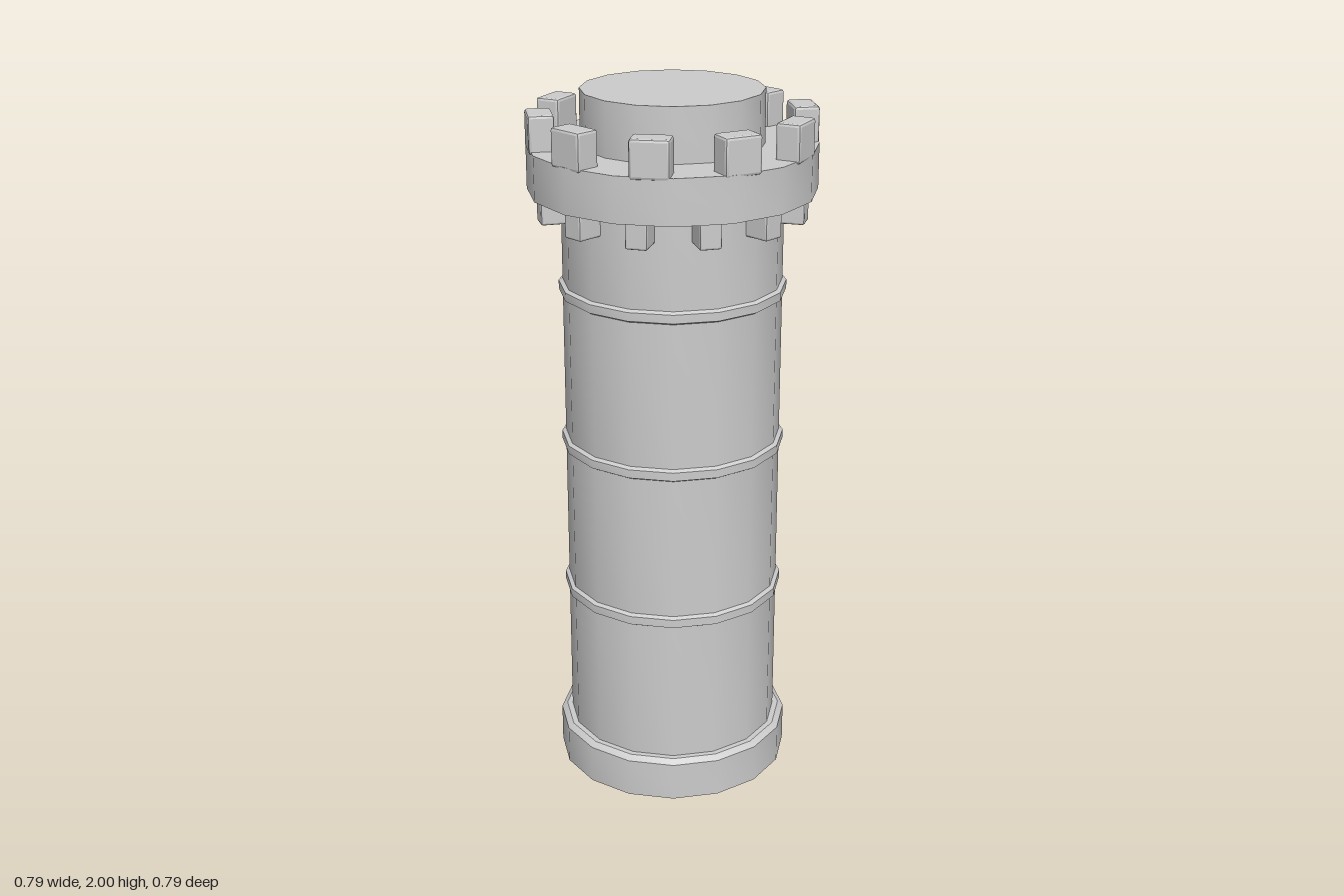
import * as THREE from 'three';
import { toCreasedNormals } from 'three/addons/utils/BufferGeometryUtils.js';
import { RoundedBoxGeometry } from 'three/addons/geometries/RoundedBoxGeometry.js';

const SIDES = 16;

export function createModel() {
  const tower = new THREE.Group();
  tower.name = 'tower';

  const stone = new THREE.MeshStandardMaterial({ color: 0xcccccc, side: THREE.DoubleSide });
  stone.name = 'grey stone';

  // Turned shell: smooth around, sharp along the profile
  function shell(name, profile) {
    const points = profile.map(([r, y]) => new THREE.Vector2(r, y));
    const geometry = toCreasedNormals(new THREE.LatheGeometry(points, SIDES), 0.5);
    const mesh = new THREE.Mesh(geometry, stone);
    mesh.name = name;
    tower.add(mesh);
  }

  // Evenly spaced chamfered blocks facing outwards
  function blockRing(name, count, radius, y, [w, h, d], chamfer) {
    const geometry = toCreasedNormals(new RoundedBoxGeometry(w, h, d, 1, chamfer), 0.3);
    const ring = new THREE.Group();
    ring.name = name + 's';
    for (let i = 0; i < count; i++) {
      const a = (i / count) * Math.PI * 2;
      const block = new THREE.Mesh(geometry, stone);
      block.name = name;
      block.position.set(Math.sin(a) * radius, y, Math.cos(a) * radius);
      block.rotation.y = a;
      ring.add(block);
    }
    tower.add(ring);
  }

  // Open-bottomed plinth with a chamfered upper edge
  shell('plinth', [[0.336, 0], [0.336, 0.112], [0.32, 0.125], [0.304, 0.125]]);

  // Shaft with three raised bands
  const shaft = [[0.304, 0.125]];
  for (const y of [0.56, 1.008, 1.456]) {
    shaft.push([0.304, y - 0.018], [0.315, y - 0.012], [0.315, y + 0.012], [0.304, y + 0.018]);
  }
  shaft.push([0.304, 1.727]);
  shell('shaft', shaft);

  // Overhanging gallery and the drum rising from it
  shell('gallery', [[0.304, 1.727], [0.395, 1.727], [0.395, 1.851], [0.249, 1.851]]);
  shell('drum', [[0.249, 1.851], [0.249, 2], [0, 2]]);

  // Corbels below the gallery, merlons above it
  blockRing('corbel', 12, 0.33, 1.697, [0.06, 0.084, 0.08], 0.006);
  blockRing('merlon', 10, 0.357, 1.895, [0.106, 0.104, 0.07], 0.008);

  return tower;
}
